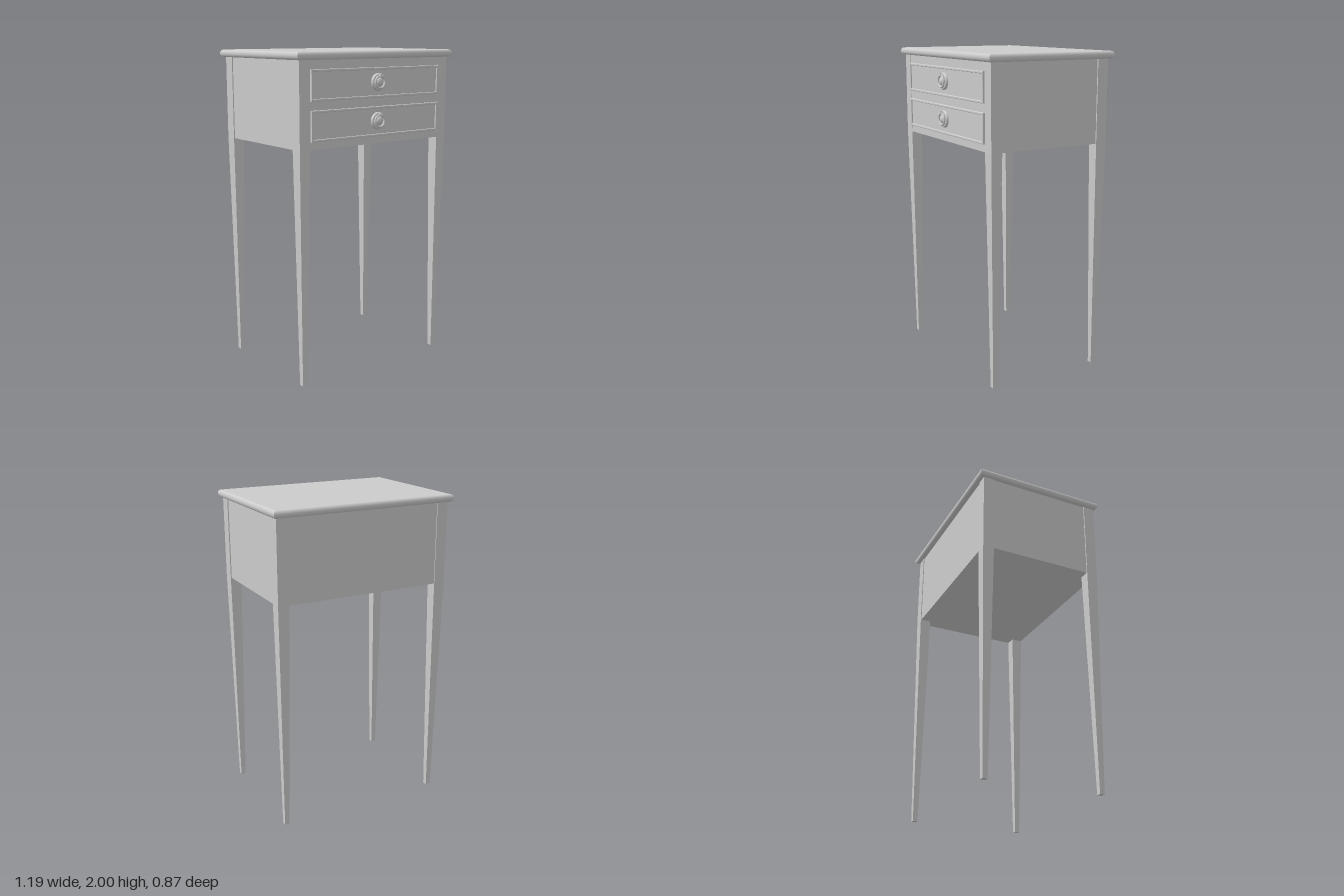
import * as THREE from 'three';

const material = new THREE.MeshStandardMaterial({ color: 0xcccccc });
const flat = new THREE.MeshStandardMaterial({ color: 0xcccccc, flatShading: true });

function add(parent, name, geometry, x, y, z, mat = material) {
  const mesh = new THREE.Mesh(geometry, mat);
  mesh.name = name;
  mesh.position.set(x, y, z);
  parent.add(mesh);
  return mesh;
}

// Slab whose four sides are rounded over, mitred at the corners
function roundedSlab(width, height, depth, inset) {
  const g = new THREE.BoxGeometry(width, height, depth, 1, 10, 1);
  const p = g.attributes.position;
  for (let i = 0; i < p.count; i++) {
    const a = (p.getY(i) / height) * Math.PI;
    const d = inset * (1 - Math.cos(a));
    p.setXYZ(i,
      p.getX(i) - Math.sign(p.getX(i)) * d,
      (Math.sin(a) * height) / 2,
      p.getZ(i) - Math.sign(p.getZ(i)) * d);
  }
  g.computeVertexNormals();
  return g;
}

// Square post, straight beside the case and tapering below it
function legGeometry(top, shoulder, wide, narrow) {
  const g = new THREE.BoxGeometry(wide, 2, wide, 1, 2, 1);
  const p = g.attributes.position;
  for (let i = 0; i < p.count; i++) {
    const row = Math.round(p.getY(i)) + 1;
    const s = row === 0 ? narrow / wide : 1;
    p.setXYZ(i, p.getX(i) * s, [0, shoulder, top][row], p.getZ(i) * s);
  }
  return g;
}

// Beaded rectangular frame around a drawer
function beadGeometry(width, height, border) {
  const rect = (path, w, h) => path.moveTo(-w / 2, -h / 2).lineTo(w / 2, -h / 2)
    .lineTo(w / 2, h / 2).lineTo(-w / 2, h / 2).closePath();
  const b = 0.004;
  const shape = rect(new THREE.Shape(), width - 2 * b, height - 2 * b);
  const inner = border * 2 - 2 * b;
  shape.holes.push(rect(new THREE.Path(), width - inner, height - inner));
  return new THREE.ExtrudeGeometry(shape, {
    depth: 0.01, bevelEnabled: true, bevelSize: b, bevelThickness: b, bevelSegments: 3,
  });
}

// Round pull: stepped rosette, raised ring, central boss and small hanger
function createPull() {
  const pull = new THREE.Group();
  pull.name = 'drawerPull';
  const lathe = (pts) => new THREE.LatheGeometry(
    pts.map(([r, y]) => new THREE.Vector2(r, y)), 40).rotateX(Math.PI / 2);
  add(pull, 'rosette', lathe([
    [0.053, 0], [0.053, 0.008], [0.049, 0.013], [0.045, 0.016],
    [0.038, 0.014], [0.03, 0.012], [0, 0.012],
  ]), 0, 0, 0);
  add(pull, 'pullRing', new THREE.TorusGeometry(0.036, 0.007, 10, 40), 0, 0, 0.022);
  add(pull, 'boss', lathe([
    [0.026, 0.01], [0.026, 0.018], [0.022, 0.024], [0.012, 0.029], [0, 0.031],
  ]), 0, 0, 0);
  add(pull, 'hanger', new THREE.BoxGeometry(0.008, 0.018, 0.02), 0, 0.038, 0.02);
  return pull;
}

export function createModel() {
  const table = new THREE.Group();
  table.name = 'bedsideTable';
  const cz = -0.003;

  // Top
  add(table, 'tableTop', roundedSlab(1.194, 0.046, 0.861, 0.018), 0, 1.977, -0.0065);

  // Case between the legs
  add(table, 'case', new THREE.BoxGeometry(1.132, 0.511, 0.66), 0, 1.7005, cz);
  add(table, 'backPanel', new THREE.BoxGeometry(1.0, 0.511, 0.08), 0, 1.7005, -0.361);
  add(table, 'frontFrame', new THREE.BoxGeometry(1.0, 0.511, 0.08), 0, 1.7005, 0.357);

  // Legs
  const leg = legGeometry(1.956, 1.445, 0.072, 0.031);
  for (const x of [-1, 1]) {
    for (const z of [-1, 1]) {
      add(table, (z > 0 ? 'front' : 'back') + (x > 0 ? 'LeftLeg' : 'RightLeg'),
        leg, x * 0.536, 0, cz + z * 0.367, flat);
    }
  }

  // Drawers with beads and pulls
  [1.812, 1.58].forEach((y, i) => {
    const drawer = new THREE.Group();
    drawer.name = i ? 'lowerDrawer' : 'upperDrawer';
    drawer.position.set(0, y, 0);
    add(drawer, 'drawerFront', new THREE.BoxGeometry(0.975, 0.165, 0.02), 0, 0, 0.392);
    add(drawer, 'drawerBead', beadGeometry(0.99, 0.18, 0.014), 0, 0, 0.397);
    const pull = createPull();
    pull.position.set(0, 0.003, 0.402);
    drawer.add(pull);
    table.add(drawer);
  });

  return table;
}
